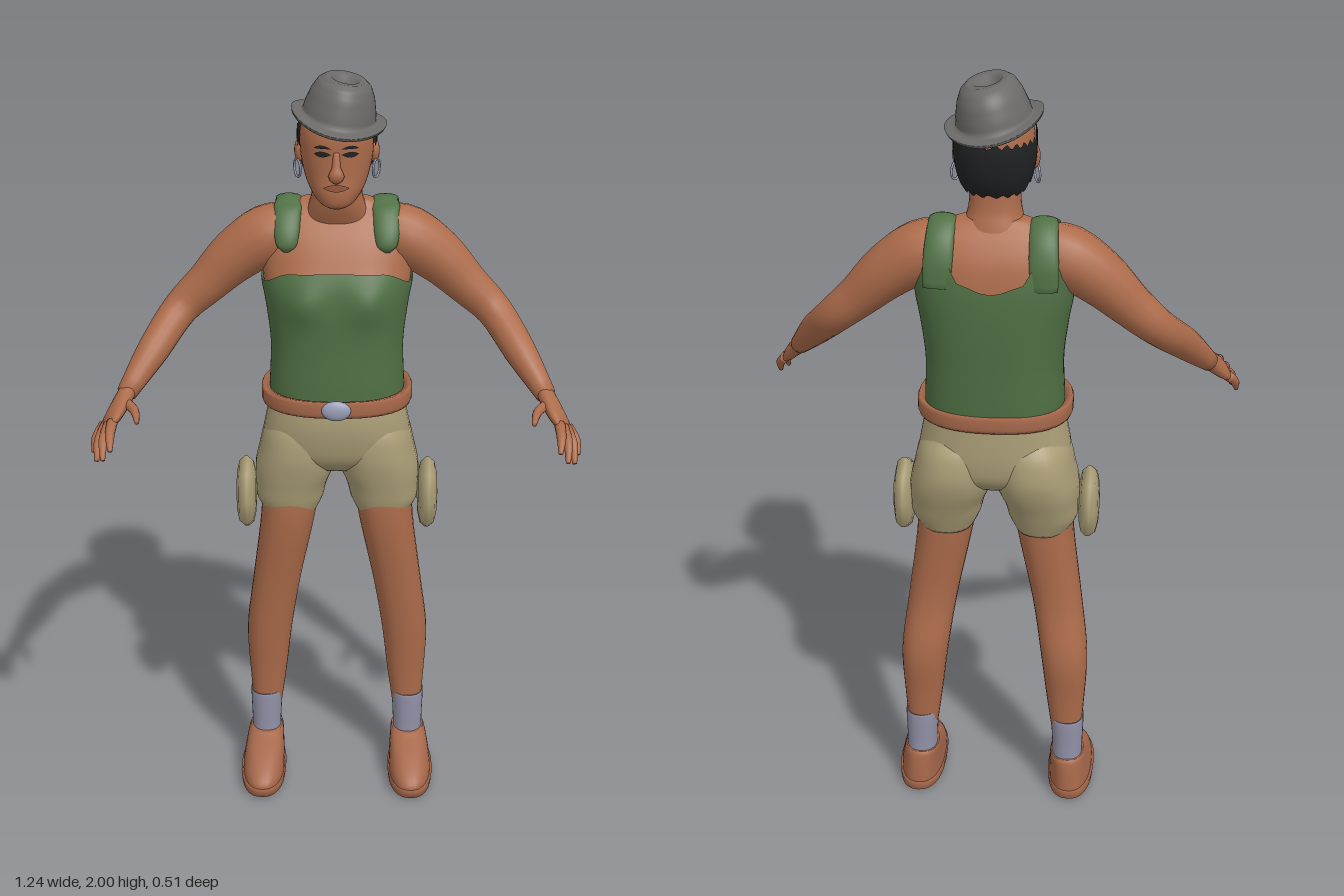
import * as THREE from 'three';

const mat = (name, hex, side = THREE.FrontSide) => {
  const m = new THREE.MeshStandardMaterial({ color: hex, side });
  m.name = name;
  return m;
};
const M = {
  skin: mat('skin', 0xad6c4b),
  lips: mat('lips', 0x8f543c, THREE.DoubleSide),
  green: mat('green cloth', 0x4f6f43, THREE.DoubleSide),
  khaki: mat('khaki cloth', 0xaa9d76),
  leather: mat('leather', 0xa7684b),
  sock: mat('sock grey', 0x9292a8),
  metal: mat('metal', 0x9aa0b8),
  hat: mat('hat grey', 0x6c6b6a, THREE.DoubleSide),
  hair: mat('hair black', 0x202224, THREE.DoubleSide),
};
const V = (x, y, z) => new THREE.Vector3(x, y, z);
const spow = (v, p) => Math.sign(v) * Math.abs(v) ** p;

// Grid surface from f(u, v); closed wraps around u, caps close both ends
function grid(nu, nv, f, closed, caps) {
  const pos = [], idx = [], w = closed ? nu : nu + 1;
  for (let j = 0; j <= nv; j++)
    for (let i = 0; i < w; i++) pos.push(...f(i / nu, j / nv).toArray());
  for (let j = 0; j < nv; j++)
    for (let i = 0; i < nu; i++) {
      const a = j * w + i, b = j * w + ((i + 1) % w), c = a + w, d = b + w;
      idx.push(a, b, d, a, d, c);
    }
  if (caps) for (const j of [0, nv]) {
    const mid = V(0, 0, 0), k = pos.length / 3;
    for (let i = 0; i < w; i++) mid.add(f(i / nu, j / nv));
    pos.push(...mid.divideScalar(w).toArray());
    for (let i = 0; i < w; i++) {
      const a = j * w + i, b = j * w + ((i + 1) % w);
      j ? idx.push(a, b, k) : idx.push(b, a, k);
    }
  }
  const g = new THREE.BufferGeometry();
  g.setAttribute('position', new THREE.Float32BufferAttribute(pos, 3));
  g.setIndex(idx);
  g.computeVertexNormals();
  return g;
}

// Surface through level rings [y, centreX, halfX, zFront, zBack]; angle 0 is the front
function surface(rings, { p = 0.85, smooth = true, bump } = {}) {
  const last = rings.length - 1;
  const at = (a, t, off = 0) => {
    const i = Math.min(Math.floor(t), last - 1), f = t - i;
    const r = rings[i].map((v1, k) => {
      const v2 = rings[i + 1][k];
      if (!smooth) return v1 + (v2 - v1) * f;
      const m1 = (v2 - rings[Math.max(i - 1, 0)][k]) / 2;
      const m2 = (rings[Math.min(i + 2, last)][k] - v1) / 2;
      return v1 + f * (m1 + f * (3 * (v2 - v1) - 2 * m1 - m2 + f * (2 * (v1 - v2) + m1 + m2)));
    });
    const q = V(r[1] + (r[2] + off) * spow(Math.sin(a), p), r[0],
      (r[3] + r[4]) / 2 + ((r[3] - r[4]) / 2 + off) * spow(Math.cos(a), p));
    if (bump) bump(q, a);
    return q;
  };
  const tOf = (y) => {
    let i = 0;
    while (i < last - 1 && y > rings[i + 1][0]) i++;
    return Math.min(last, Math.max(0, i + (y - rings[i][0]) / (rings[i + 1][0] - rings[i][0])));
  };
  const body = (n = 32, sub = smooth ? 4 : 1, caps = true) =>
    grid(n, last * sub, (u, v) => at(u * Math.PI * 2, v * last), true, caps);
  // Patch lying on the surface between heights lo(a) and hi(a)
  const patch = (a0, a1, lo, hi, off, nu = 48, nv = 14) => grid(nu, nv, (u, v) => {
    const a = a0 + (a1 - a0) * u;
    return at(a, tOf(lo(a) + (hi(a) - lo(a)) * v), off(a));
  });
  return { body, patch };
}

// Swept limb through [x, y, z, halfWidth, halfThickness], width facing the given direction
function limb(pts, wide = V(0, 0, 1), n = 16, steps = 24) {
  const curve = new THREE.CatmullRomCurve3(pts.map((p) => V(p[0], p[1], p[2])));
  const size = new THREE.CatmullRomCurve3(pts.map((p) => V(p[3], p[4] ?? p[3], 0)));
  return grid(n, steps, (u, v) => {
    const T = curve.getTangent(v), r = size.getPoint(v), a = u * Math.PI * 2;
    const B = wide.clone().addScaledVector(T, -wide.dot(T)).normalize();
    const N = T.clone().cross(B);
    return curve.getPoint(v).addScaledVector(B, r.x * Math.cos(a)).addScaledVector(N, r.y * Math.sin(a));
  }, true, true);
}

// Piecewise curve through [x, y] stops
const ramp = (stops) => (x) => {
  let i = 0;
  while (i < stops.length - 2 && x > stops[i + 1][0]) i++;
  const [[x0, y0], [x1, y1]] = [stops[i], stops[i + 1]];
  return y0 + (y1 - y0) * THREE.MathUtils.smoothstep(x, x0, x1);
};

export function createModel() {
  const root = new THREE.Group();
  root.name = 'figure';
  const add = (name, geo, material, x = 0, y = 0, z = 0) => {
    const m = new THREE.Mesh(geo, material);
    m.name = name;
    m.position.set(x, y, z);
    root.add(m);
    return m;
  };
  const fold = (a) => Math.abs(a > Math.PI ? a - 2 * Math.PI : a);

  // Torso and tank top
  const torso = surface([
    [1.13, 0, .172, .018, -.24], [1.2, 0, .17, .018, -.244], [1.3, 0, .167, .014, -.246],
    [1.4, 0, .178, .012, -.248], [1.47, 0, .19, .004, -.247], [1.52, 0, .193, -.015, -.243],
    [1.58, 0, .195, -.045, -.23], [1.63, 0, .185, -.08, -.205], [1.655, 0, .14, -.1, -.185],
    [1.675, 0, .085, -.11, -.17]], {
    p: 0.8,
    bump: (q, a) => {
      if (Math.cos(a) > 0) q.z += .017 * Math.exp(-(((Math.abs(q.x) - .085) / .05) ** 2) - ((q.y - 1.43) / .05) ** 2);
    },
  });
  add('torso', torso.body(48), M.skin);
  const topEdge = ramp([[0, 1.512], [.5, 1.508], [1.2, 1.475], [1.6, 1.47], [1.9, 1.5], [2.2, 1.6],
    [2.45, 1.61], [2.65, 1.585], [2.85, 1.535], [3.15, 1.515]]);
  add('tankTop', torso.patch(0, Math.PI * 2, () => 1.165, (a) => topEdge(fold(a)), () => .006, 96, 24), M.green);

  // Neck, head and face
  add('neck', surface([[1.61, 0, .09, -.08, -.2], [1.66, 0, .074, -.056, -.187],
    [1.7, 0, .064, -.046, -.175], [1.77, 0, .062, -.04, -.17]]).body(), M.skin);
  const head = surface([
    [1.688, 0, .022, .015, -.05], [1.7, 0, .045, .028, -.09], [1.73, 0, .068, .033, -.145],
    [1.77, 0, .083, .03, -.172], [1.82, 0, .092, .03, -.185], [1.87, 0, .092, .03, -.188],
    [1.91, 0, .08, .012, -.175], [1.945, 0, .045, -.03, -.13]]);
  add('head', head.body(40), M.skin);
  add('nose', limb([[0, 1.835, .026, .008], [0, 1.8, .034, .011], [0, 1.778, .036, .02, .016],
    [0, 1.765, .028, .012]], V(1, 0, 0), 12, 12), M.skin);
  const mouth = (k) => (a) => 1.748 + k * .009 * Math.cos(a / .36 * Math.PI / 2);
  add('lips', head.patch(-.36, .36, mouth(-1), mouth(1), () => .004, 16, 4), M.lips);

  // Hair, ragged at both edges
  const hairLow = ramp([[1.1, 1.845], [1.65, 1.825], [1.95, 1.765], [2.4, 1.74], [3.15, 1.738]]);
  const jag = (a) => .006 * Math.sin(a * 23);
  add('hair', head.patch(1.1, Math.PI * 2 - 1.1, (a) => hairLow(fold(a)) + jag(a), (a) => 1.872 + jag(a * 1.3),
    (a) => .006 + .018 * Math.max(0, -Math.cos(a)), 72, 10), M.hair);

  // Hat, creased on top and tilted to one side
  const hat = add('hat', surface([
    [.004, 0, .085, .11, -.11], [-.004, 0, .118, .162, -.158], [.004, 0, .121, .165, -.161],
    [.01, 0, .094, .122, -.122], [.035, 0, .09, .118, -.12], [.07, 0, .08, .11, -.112], [.094, 0, .068, .098, -.095],
    [.107, 0, .052, .078, -.072], [.106, 0, .036, .055, -.05], [.092, 0, .02, .035, -.03], [.086, 0, .004, .008, -.008]],
  { p: 1, smooth: false, bump: (q) => { q.y += q.y < .015 ? 1.2 * q.x * q.x - .006 : 0; } }).body(48, 3, false),
  M.hat, .003, 1.89, -.08);
  hat.rotation.z = -.18;

  // Belt and buckle
  const hoop = (y, d) => [y, 0, .198 - d, .062 - d, -.256 + d];
  add('belt', surface([hoop(1.148, .022), hoop(1.142, .004), hoop(1.152, 0), hoop(1.178, 0),
    hoop(1.187, .004), hoop(1.182, .022), hoop(1.148, .022)], { smooth: false }).body(48, 1, false), M.leather);
  add('buckle', new THREE.SphereGeometry(1, 20, 12).scale(.038, .027, .014), M.metal, 0, 1.165, .062);

  // Seat of the shorts
  add('shortsSeat', surface([[.955, 0, .11, -.03, -.2], [.99, 0, .18, .004, -.235], [1.04, 0, .195, .02, -.246],
    [1.1, 0, .186, .027, -.246], [1.165, 0, .173, .02, -.243]]).body(40), M.khaki);

  for (const s of [1, -1]) {
    const side = s > 0 ? 'left' : 'right';
    const flip = (pts) => pts.map(([x, ...r]) => [s * x, ...r]);
    const level = (rings, o) => surface(rings.map(([y, x, ...r]) => [y, s * x, ...r]), o);

    // Eyes, brows, ears and earrings
    const lens = (y, h, bow) => [-1, 1].map((k) => (a) => {
      const c = Math.max(0, 1 - ((Math.abs(a) - .32) / .23) ** 2);
      return y + k * h * c + bow * c;
    });
    const span = s > 0 ? [.09, .55] : [-.55, -.09];
    add(side + 'Eye', head.patch(...span, ...lens(1.831, .007, 0), () => .003, 12, 3), M.hair);
    add(side + 'Brow', head.patch(...span, ...lens(1.845, .004, .004), () => .003, 12, 3), M.hair);
    add(side + 'Ear', new THREE.SphereGeometry(1, 14, 10).scale(.013, .03, .02), M.skin, s * .094, 1.812, -.085);
    add(side + 'Earring', new THREE.TorusGeometry(.023, .003, 6, 24), M.metal, s * .099, 1.768, -.078)
      .rotation.y = s * 1.2;

    // Shoulder strap
    add(side + 'Strap', limb(flip([[.127, 1.555, -.05, .008, .004], [.127, 1.572, -.05, .026, .012],
      [.127, 1.61, -.068, .033, .013], [.125, 1.652, -.105, .034, .012], [.123, 1.67, -.145, .034, .012],
      [.125, 1.64, -.192, .035, .012], [.128, 1.585, -.222, .036, .01], [.13, 1.52, -.232, .034, .008]]),
    V(1, 0, 0), 16, 32), M.green);

    // Arm and hand
    add(side + 'Arm', limb(flip([[.09, 1.605, -.135, .06], [.18, 1.575, -.132, .078], [.26, 1.522, -.13, .07],
      [.335, 1.45, -.122, .056], [.405, 1.385, -.105, .047], [.47, 1.305, -.015, .042],
      [.535, 1.217, .073, .026]])), M.skin);
    const across = V(s * .41, -.41, -.82);
    add(side + 'Palm', limb(flip([[.53, 1.224, .066, .025, .022], [.547, 1.2, .1, .035, .021],
      [.565, 1.175, .135, .043, .018], [.578, 1.158, .16, .036, .01]]), across, 16, 12), M.skin);
    const fingers = {
      Thumb: [[.54, 1.205, .095], [.508, 1.202, .15], [.495, 1.195, .212]],
      Index: [[.563, 1.175, .165], [.564, 1.16, .215], [.56, 1.135, .255]],
      Middle: [[.573, 1.165, .155], [.582, 1.143, .205], [.58, 1.108, .25]],
      Ring: [[.582, 1.157, .14], [.597, 1.13, .183], [.6, 1.09, .215]],
      Little: [[.588, 1.153, .125], [.607, 1.125, .15], [.612, 1.095, .172]],
    };
    for (const [name, [a, b, c]] of Object.entries(fingers))
      add(side + name, limb(flip([[...a, .014], [...b, .012], [...c, .006]]), across, 10, 8), M.skin);

    // Shorts leg and side pouch
    add(side + 'ShortsLeg', level([[.822, .124, .07, -.022, -.198], [.86, .126, .09, -.01, -.213],
      [.9, .122, .096, -.002, -.228], [.95, .112, .106, .008, -.247], [1, .105, .102, .014, -.256],
      [1.06, .1, .092, .008, -.246], [1.1, .095, .07, -.01, -.22]]).body(), M.khaki);
    const pouch = [[0, -.028], [.045, -.025], [.07, -.018], [.08, -.004], [.08, .004], [.07, .018], [.045, .025], [0, .028]];
    add(side + 'Pouch', new THREE.LatheGeometry(pouch.map((p) => new THREE.Vector2(...p)), 8)
      .rotateZ(Math.PI / 2).scale(1, 1.3, 1), M.khaki, s * .242, .872, -.08);

    // Leg, sock and shoe
    add(side + 'Leg', level([[.15, .198, .035, -.09, -.175], [.3, .193, .051, -.08, -.188],
      [.44, .187, .062, -.063, -.205], [.6, .165, .065, -.042, -.185], [.8, .132, .073, -.012, -.195],
      [.92, .122, .08, -.012, -.2]]).body(28, 5), M.skin);
    add(side + 'Sock', level([[.09, .2, .04, -.08, -.187], [.15, .2, .041, -.08, -.186],
      [.233, .199, .044, -.077, -.189], [.237, .199, .04, -.082, -.184]]).body(), M.sock);
    add(side + 'Shoe', level([[.02, .206, .058, .083, -.206], [.04, .206, .058, .08, -.205],
      [.062, .205, .056, .056, -.203], [.09, .203, .052, .005, -.2], [.112, .201, .048, -.05, -.196],
      [.122, .2, .044, -.07, -.19]]).body(), M.leather);
    add(side + 'Sole', level([[0, .207, .056, .07, -.2], [.006, .207, .061, .084, -.208],
      [.026, .207, .063, .09, -.211], [.03, .207, .058, .084, -.206]], { smooth: false }).body(), M.leather);
  }
  return root;
}
